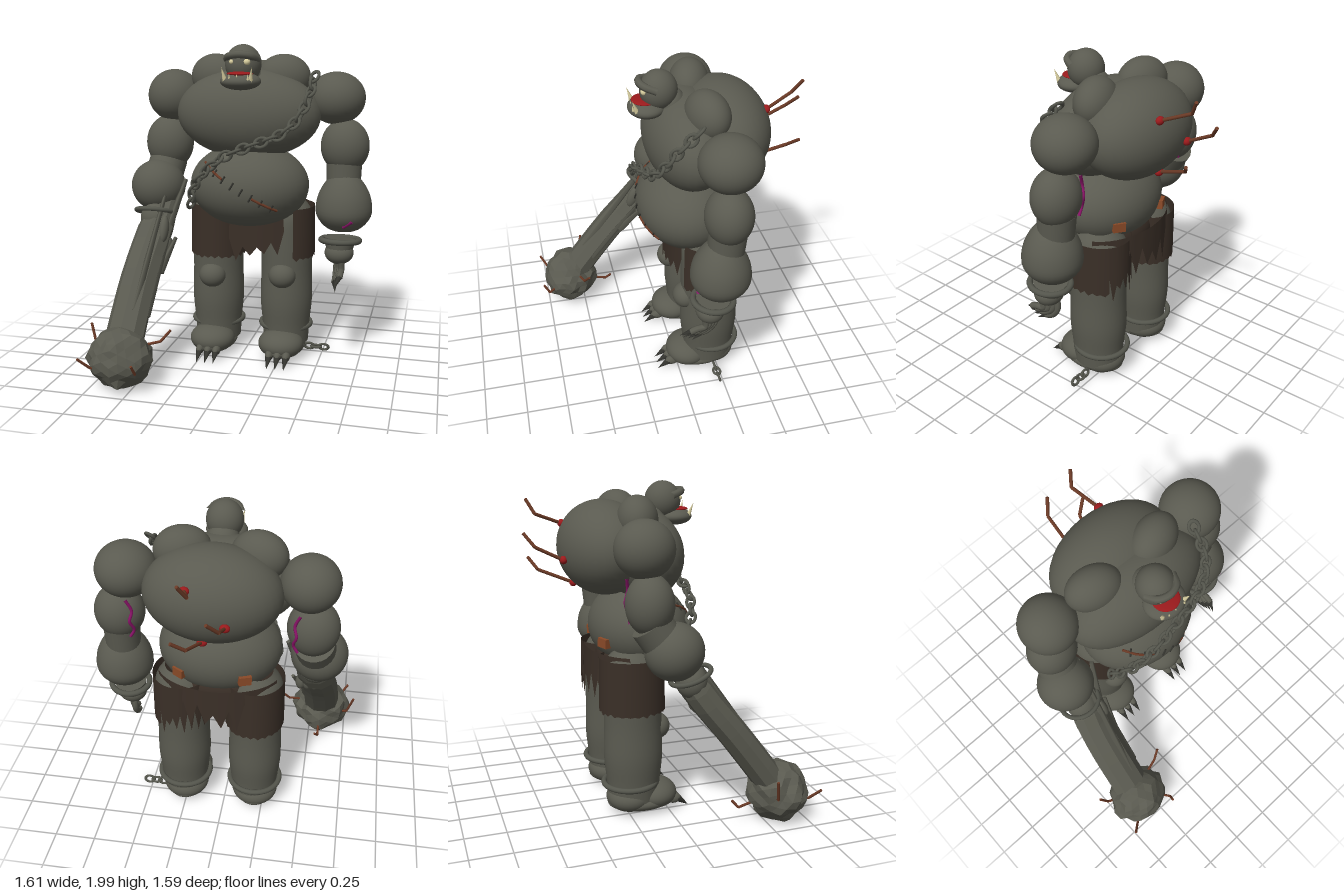
import * as THREE from 'three';

const mat = (name, color, side = THREE.FrontSide) => {
  const m = new THREE.MeshStandardMaterial({ color, side });
  m.name = name;
  return m;
};
const V = (p) => new THREE.Vector3(...p);
const UP = new THREE.Vector3(0, 1, 0);
const noise = (n) => { const s = Math.sin(n * 127.1 + 3.7) * 43758.5453; return s - Math.floor(s); };

export function createModel() {
  const root = new THREE.Group();
  root.name = 'ogre';
  const skin = mat('greySkin', 0x5a5a50);
  const iron = mat('darkIron', 0x54554c);
  const cloth = mat('brownCloth', 0x3a2f27, THREE.DoubleSide);
  const rust = mat('rust', 0x6b3a26);
  const patchMat = mat('leatherPatch', 0x8a4a28);
  const red = mat('bloodRed', 0x9a1a1c);
  const vein = mat('magentaVein', 0x8a1468);
  const bone = mat('bone', 0xd9cfa0);
  const claw = mat('darkClaw', 0x34342f);

  const add = (name, geo, m, pos = [0, 0, 0], rot = [0, 0, 0]) => {
    const mesh = new THREE.Mesh(geo, m);
    mesh.name = name;
    mesh.position.set(...pos);
    mesh.rotation.set(...rot);
    root.add(mesh);
    return mesh;
  };
  const ball = (name, pos, r, m = skin, rot) =>
    add(name, new THREE.SphereGeometry(1, 36, 24), m, pos, rot).scale.set(...r);
  // Tapered rod from a to b (r1 = 0 makes a spike)
  const rod = (name, a, b, r0, r1, m, sides = 8) => {
    const d = V(b).sub(V(a));
    const mesh = add(name, new THREE.CylinderGeometry(r1, r0, d.length(), sides), m);
    mesh.position.copy(V(a)).addScaledVector(d, 0.5);
    mesh.quaternion.setFromUnitVectors(UP, d.normalize());
  };
  const rods = (name, pts, r, m) => pts.slice(1).forEach((p, i) => rod(name, pts[i], p, r, r, m));
  const tube = (name, pts, r, m) =>
    add(name, new THREE.TubeGeometry(new THREE.CatmullRomCurve3(pts.map(V)), 24, r, 8), m);
  const ring = (name, pos, R, r, tilt = 0) =>
    add(name, new THREE.TorusGeometry(R, r, 10, 36), iron, pos, [Math.PI / 2 - tilt, 0, 0]);

  // Torso
  ball('chest', [0.035, 1.58, -0.095], [0.45, 0.275, 0.245]);
  ball('backHump', [0.05, 1.62, -0.31], [0.395, 0.28, 0.27]);
  const B = { c: [0.042, 1.137, -0.1], r: [0.374, 0.265, 0.302] };
  ball('belly', B.c, B.r);
  ball('rightTrapezius', [-0.19, 1.8, -0.17], [0.165, 0.14, 0.12], skin, [0, -0.25, 0]);
  ball('leftTrapezius', [0.24, 1.8, -0.17], [0.165, 0.14, 0.12], skin, [0, 0.25, 0]);
  ball('neck', [0.04, 1.78, -0.01], [0.1, 0.11, 0.09]);
  ball('pelvis', [0.04, 0.94, -0.2], [0.26, 0.16, 0.16], cloth);

  // Head
  ball('skull', [0.04, 1.885, 0.06], [0.108, 0.115, 0.108]);
  ball('jaw', [0.04, 1.788, 0.13], [0.122, 0.052, 0.108]);
  ball('mouth', [0.04, 1.832, 0.14], [0.078, 0.013, 0.076], red);
  tube('brow', [[-0.055, 1.915, 0.085], [-0.02, 1.935, 0.15], [0.04, 1.943, 0.172], [0.1, 1.935, 0.15], [0.135, 1.915, 0.085]], 0.022, skin);
  ball('rightEye', [-0.008, 1.9, 0.152], [0.014, 0.014, 0.014], bone);
  ball('leftEye', [0.083, 1.9, 0.15], [0.02, 0.02, 0.02], bone);
  for (const s of [-1, 1]) rod('tusk', [0.04 + s * 0.075, 1.79, 0.195], [0.04 + s * 0.09, 1.872, 0.225], 0.016, 0, bone);
  for (const x of [-0.005, 0.04, 0.105]) rod('tooth', [x, 1.8, 0.215], [x, 1.836, 0.222], 0.008, 0, bone, 6);

  // Shoulders and arms
  ball('rightShoulder', [-0.48, 1.675, -0.22], [0.17, 0.165, 0.17]);
  ball('leftShoulder', [0.56, 1.675, -0.215], [0.178, 0.16, 0.178]);
  const arms = { right: [-0.51, 1.375, -0.2], left: [0.622, 1.385, -0.2] };
  ball('rightUpperArm', arms.right, [0.153, 0.175, 0.137]);
  ball('leftUpperArm', arms.left, [0.15, 0.168, 0.137]);
  ball('rightForearm', [-0.55, 1.11, -0.07], [0.172, 0.165, 0.17], skin, [-0.5, 0, 0]);
  rod('rightElbow', [-0.52, 1.27, -0.2], [-0.54, 1.12, -0.1], 0.12, 0.12, skin, 24);
  rod('leftElbow', [0.62, 1.15, -0.19], [0.62, 1.29, -0.2], 0.105, 0.11, skin, 24);
  const forearm = new THREE.LatheGeometry(new THREE.SplineCurve(
    [[0, -0.195], [0.1, -0.17], [0.168, -0.09], [0.168, 0.01], [0.13, 0.1], [0.07, 0.165], [0, 0.18]].map((p) => new THREE.Vector2(...p))).getPoints(24), 36);
  add('leftForearm', forearm, skin, [0.628, 1.045, -0.165]);
  for (const s of [-1, 1]) {
    const c = s < 0 ? arms.right : arms.left;
    tube('armVein', [[-0.07, 0.14, -0.11], [-0.1, 0.06, -0.098], [-0.088, 0, -0.115], [-0.105, -0.07, -0.09], [-0.08, -0.12, -0.09]]
      .map(([x, y, z]) => [c[0] + s * x, c[1] + y, c[2] + z]), 0.009, vein);
  }
  rod('wristVein', [0.64, 0.91, -0.035], [0.695, 0.95, -0.02], 0.014, 0.014, vein);

  // Left hand with manacle, curled fingers and claws
  ring('leftManacle', [0.615, 0.805, -0.13], 0.118, 0.018, 0.08);
  rod('leftWrist', [0.615, 0.815, -0.13], [0.61, 0.74, -0.12], 0.1, 0.08, skin, 20);
  ball('leftPalm', [0.612, 0.728, -0.115], [0.09, 0.072, 0.085]);
  for (let i = 0; i < 4; i++) {
    const x = 0.592 + i * 0.013, z = -0.15 + i * 0.025, y = 0.5 + i * 0.018;
    tube('leftFinger', [[x, 0.71, z], [x, 0.62, z - 0.008], [x, y + 0.055, z + 0.04], [x, y + 0.04, z + 0.08]], 0.02, skin);
    rod('leftClaw', [x, y + 0.045, z + 0.07], [0.605, y, z + 0.14], 0.019, 0, claw);
  }

  // Right hand gripping the club
  ring('rightManacle', [-0.54, 0.96, 0.03], 0.12, 0.014, 0.35);
  ball('rightPalm', [-0.53, 0.92, 0.04], [0.1, 0.1, 0.09]);
  for (let i = 0; i < 3; i++) {
    ball('rightFinger', [-0.45 - i * 0.04, 0.87 - i * 0.012, 0.13], [0.03, 0.085, 0.038], skin, [-0.4, 0, 0]);
    ball('rightFingertip', [-0.44 - i * 0.045, 0.765, 0.09], [0.032, 0.055, 0.035]);
  }

  // Bent, tapered club handle with splinters
  const axis = new THREE.CatmullRomCurve3([[-0.575, 0.25, 0.54], [-0.57, 0.4, 0.43], [-0.56, 0.6, 0.28], [-0.535, 0.8, 0.12], [-0.49, 1, -0.01], [-0.43, 1.2, -0.1]].map(V));
  let handle = new THREE.CylinderGeometry(1, 1, 1, 9, 12);
  const hp = handle.attributes.position, across = new THREE.Vector3(1, 0, 0);
  for (let i = 0; i < hp.count; i++) {
    const t = hp.getY(i) + 0.5;
    const out = new THREE.Vector3().crossVectors(across, axis.getTangent(t)).normalize();
    const r = t < 0.7 ? 0.122 - 0.01 * t : 0.115 - (t - 0.7) * 0.3;
    const p = axis.getPoint(t).addScaledVector(across, hp.getX(i) * r).addScaledVector(out, hp.getZ(i) * r * 0.78);
    hp.setXYZ(i, p.x, p.y, p.z);
  }
  handle = handle.toNonIndexed();
  handle.computeVertexNormals();
  add('clubHandle', handle, skin);
  rod('clubSplinter', [-0.475, 0.4, 0.43], [-0.445, 0.85, 0.09], 0.034, 0.03, skin, 4);
  rod('clubSplinter', [-0.45, 0.82, 0.11], [-0.36, 1.16, -0.05], 0.03, 0.014, skin, 4);
  rod('clubSplinter', [-0.53, 0.45, 0.47], [-0.45, 1.2, -0.03], 0.025, 0.01, skin, 4);
  rod('clubSplinter', [-0.45, 0.62, 0.23], [-0.39, 0.81, 0.08], 0.03, 0.012, skin, 4);

  // Rough boulder at the end of the club
  const rock = new THREE.IcosahedronGeometry(0.19, 3);
  const rp = rock.attributes.position;
  for (let i = 0; i < rp.count; i++) {
    const p = new THREE.Vector3().fromBufferAttribute(rp, i);
    const key = Math.round(p.x * 500) + Math.round(p.y * 500) * 1.37 + Math.round(p.z * 500) * 2.11;
    const lump = Math.sin(p.x * 31 + 1) * Math.sin(p.y * 27 + 2) * Math.sin(p.z * 29 + 1);
    p.multiplyScalar(0.92 + 0.12 * noise(key) + 0.12 * lump);
    rp.setXYZ(i, p.x * 1.02, p.y * 0.95, p.z * 0.94);
  }
  rock.computeVertexNormals();
  add('clubBoulder', rock, skin, [-0.575, 0.195, 0.585]);
  [[[-0.8, 0.35, 0.475], [-0.76, 0.22, 0.5], [-0.66, 0.18, 0.54]],
    [[-0.295, 0.35, 0.48], [-0.35, 0.285, 0.51], [-0.46, 0.26, 0.54]],
    [[-0.76, 0.24, 0.78], [-0.7, 0.17, 0.73], [-0.64, 0.18, 0.66]],
    [[-0.43, 0.23, 0.785], [-0.42, 0.17, 0.75], [-0.48, 0.18, 0.67]],
    [[-0.55, 0.15, 0.3], [-0.57, 0.11, 0.335], [-0.57, 0.14, 0.45]],
  ].forEach((p) => rods('clubNail', p, 0.008, rust));

  // Bent spikes in the back, each with a wound
  [[[0.16, 1.755, -0.535], [0.11, 1.82, -0.7], [0.15, 1.905, -0.745]],
    [[-0.06, 1.57, -0.575], [-0.055, 1.65, -0.735], [0, 1.725, -0.79]],
    [[0.08, 1.41, -0.49], [0.13, 1.49, -0.69], [0.2, 1.555, -0.735]],
  ].forEach((p) => {
    rods('backSpike', p, 0.01, rust);
    ball('spikeWound', p[0], [0.029, 0.024, 0.022], red);
  });

  // Chain across the chest
  const link = new THREE.TorusGeometry(0.028, 0.0095, 8, 18);
  const addLink = (p, dir, roll, size) => {
    const m = add('chainLink', link, iron);
    m.position.copy(p);
    m.quaternion.setFromUnitVectors(across, dir).multiply(new THREE.Quaternion().setFromAxisAngle(across, roll));
    m.scale.set(1.35 * size, size, size);
  };
  const chain = new THREE.CatmullRomCurve3([[0.445, 1.81, -0.07], [0.425, 1.68, 0.05], [0.36, 1.55, 0.12], [0.27, 1.475, 0.15], [0.1, 1.41, 0.175], [-0.06, 1.34, 0.19], [-0.19, 1.23, 0.165], [-0.27, 1.12, 0.1], [-0.295, 1.03, 0.05]].map(V));
  for (let i = 0; i < 23; i++) addLink(chain.getPointAt(i / 22), chain.getTangentAt(i / 22), i % 2 ? 1.2 : -0.37, 1);

  // Stitched scar on the belly
  const onBelly = (x, y) => {
    const u = (x - B.c[0]) / B.r[0], v = (y - B.c[1]) / B.r[1];
    return [x, y, B.c[2] + B.r[2] * Math.sqrt(Math.max(0, 1 - u * u - v * v)) + 0.002];
  };
  const scar = (t, o = 0) => onBelly(-0.2 + 0.46 * t + 0.5 * o, 1.29 - 0.27 * t + 0.86 * o);
  rods('scar', [0, 0.1, 0.2, 0.3].map((t) => scar(t)), 0.008, rust);
  rods('scar', [0.7, 0.8, 0.9, 1].map((t) => scar(t)), 0.008, rust);
  for (let i = 0; i < 8; i++) rod('stitch', scar(0.06 + i * 0.125, -0.025), scar(0.06 + i * 0.125, 0.025), 0.006, 0.006, claw, 6);

  // Legs, knees, anklets, feet and toe claws
  const legShape = new THREE.SplineCurve([[0.145, 0.1], [0.152, 0.22], [0.166, 0.38], [0.162, 0.58], [0.166, 0.78], [0.16, 0.95], [0.1, 1.04]].map((p) => new THREE.Vector2(...p)));
  const legGeo = new THREE.LatheGeometry(legShape.getPoints(24), 32);
  for (const [side, x, kneeY] of [['right', -0.19, 0.545], ['left', 0.265, 0.57]]) {
    add(side + 'Leg', legGeo, skin, [x, 0, -0.205]).scale.z = 1.08;
    ball(side + 'Knee', [x, kneeY, -0.055], [0.086, 0.08, 0.08]);
    ring(side + 'Anklet', [x - 0.005, 0.205, -0.228], 0.16, 0.017);
    ball(side + 'Instep', [x - 0.008, 0.113, -0.075], [0.145, 0.093, 0.14]);
    ball(side + 'Heel', [x - 0.008, 0.112, -0.23], [0.145, 0.095, 0.145]);
    ball(side + 'Sole', [x - 0.008, 0.08, -0.155], [0.14, 0.062, 0.215]);
    for (const d of [-0.054, 0, 0.054]) {
      ball(side + 'Toe', [x - 0.005 + d, 0.07, 0.04], [0.026, 0.032, 0.045]);
      rod(side + 'ToeClaw', [x - 0.005 + d, 0.068, 0.06], [x - 0.005 + d, 0.012, 0.135], 0.024, 0, claw);
    }
  }
  [0.42, 0.465, 0.515].forEach((x, i) => addLink(new THREE.Vector3(x, 0.055, -0.22), across, i % 2 ? Math.PI / 2 : 0.3, 0.8));

  // Torn trousers: open shells with ragged points at the hem; angle 0 faces the front
  const tatter = (name, [cx, cz], [rx, rz], top, bottom, a0, a1, depth, seed) => {
    const n = Math.round((a1 - a0) * 4) * 2, full = a1 - a0 > 6;
    const g = new THREE.CylinderGeometry(1, 1.02, 1, n, 1, true, a0, a1 - a0);
    const p = g.attributes.position;
    for (let i = 0; i < p.count; i++) {
      const col = full ? (i % (n + 1)) % n : i % (n + 1);
      const hem = bottom + depth * (col % 2 ? 0.4 * noise(col * 3 + seed) : 0.55 + 0.45 * noise(col + seed));
      p.setXYZ(i, cx + p.getX(i) * rx, p.getY(i) > 0 ? top : hem, cz + p.getZ(i) * rz);
    }
    g.computeVertexNormals();
    add(name, g, cloth);
  };
  tatter('rightTrouserLeg', [-0.185, -0.208], [0.178, 0.196], 1.0, 0.66, 0, Math.PI * 2, 0.025, 1);
  tatter('leftTrouserSide', [0.262, -0.208], [0.178, 0.196], 1.0, 0.67, 0.42, 2.5, 0.025, 2);
  tatter('leftTrouserBack', [0.262, -0.208], [0.178, 0.196], 1.0, 0.63, 2.5, 4.5, 0.2, 3);
  tatter('frontFlap', [0.04, -0.18], [0.355, 0.205], 1.0, 0.64, -0.28, 0.72, 0.22, 4);
  tatter('backFlap', [0.04, -0.18], [0.375, 0.25], 1.02, 0.68, 1.9, 4.4, 0.26, 5);
  for (const [x, z, a] of [[0.25, -0.34, -0.55], [-0.14, -0.362, 0.4]])
    add('beltPatch', new THREE.BoxGeometry(0.075, 0.055, 0.04), patchMat, [x, 1.08, z], [0, a, 0.05]);

  return root;
}
